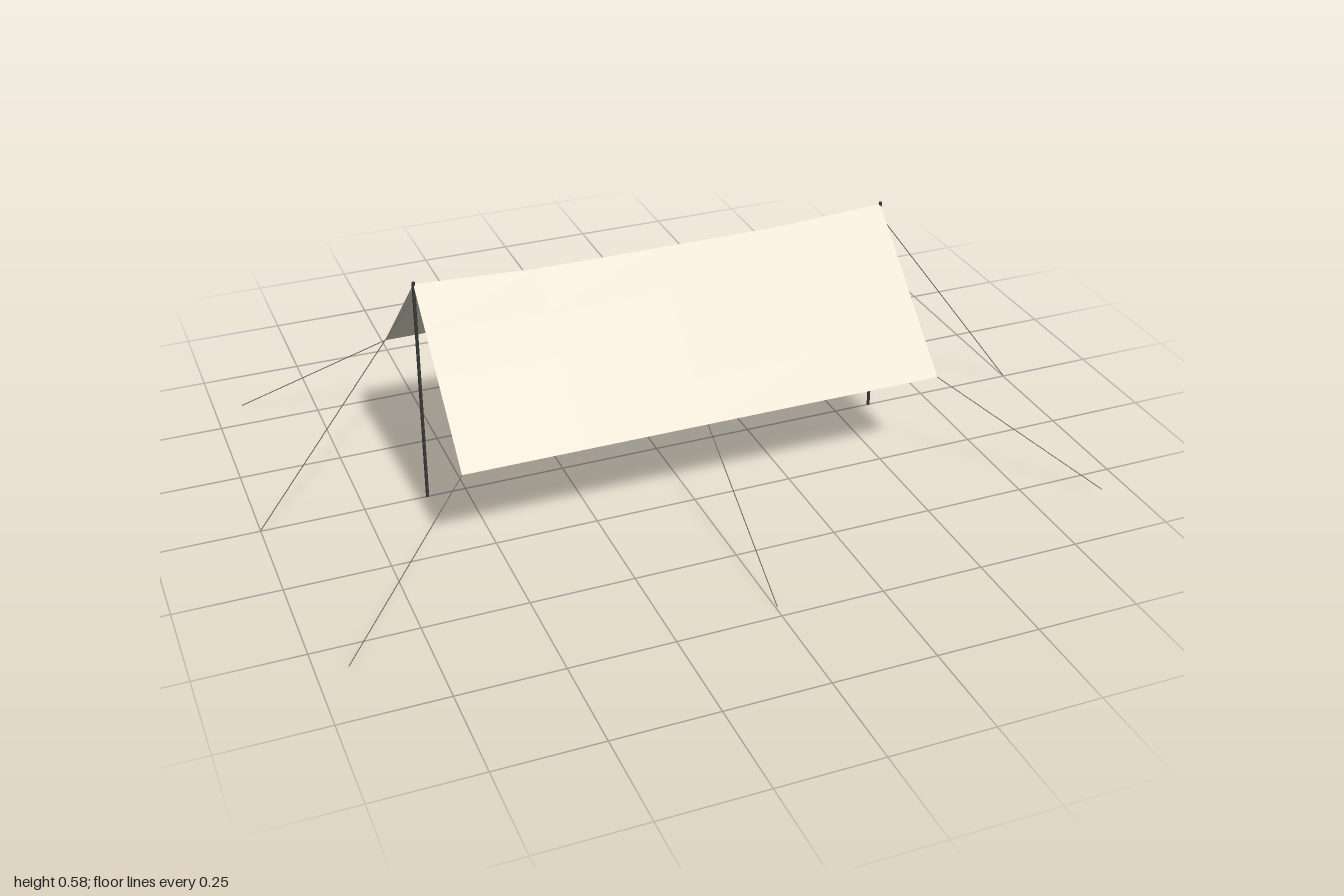
import * as THREE from 'three';

const canvas = new THREE.MeshStandardMaterial({ color: 0xe6decd, side: THREE.DoubleSide, flatShading: true });
const poleMat = new THREE.MeshStandardMaterial({ color: 0x3a3a3a });
const ropeMat = new THREE.MeshStandardMaterial({ color: 0x77726a });

// Straight round bar between two points
function bar(name, a, b, radius, sides, material) {
  const from = new THREE.Vector3(...a), to = new THREE.Vector3(...b);
  const dir = to.clone().sub(from);
  const mesh = new THREE.Mesh(new THREE.CylinderGeometry(radius, radius, dir.length(), sides), material);
  mesh.position.copy(from).add(to).multiplyScalar(0.5);
  mesh.quaternion.setFromUnitVectors(new THREE.Vector3(0, 1, 0), dir.normalize());
  mesh.name = name;
  return mesh;
}

// One sloping half of the tarp, with a ridge that sags between the poles
function tarpPanel(side) {
  const geometry = new THREE.PlaneGeometry(1.19, 1, 4, 4);
  const pos = geometry.attributes.position;
  for (let i = 0; i < pos.count; i++) {
    const x = pos.getX(i);
    const t = 0.5 - pos.getY(i); // 0 at the ridge, 1 at the eave
    const ridgeY = Math.abs(x) > 0.5 ? 0.575 : 0.56;
    pos.setXYZ(i, x * side, ridgeY + (0.26 - ridgeY) * t, 0.335 * t * side);
  }
  geometry.computeVertexNormals();
  const mesh = new THREE.Mesh(geometry, canvas);
  mesh.name = side > 0 ? 'frontTarpPanel' : 'backTarpPanel';
  return mesh;
}

export function createModel() {
  const model = new THREE.Group();
  model.name = 'tarpShelter';

  for (const s of [1, -1]) {
    const end = s > 0 ? 'left' : 'right';
    const face = s > 0 ? 'front' : 'back';
    model.add(tarpPanel(s));

    // Upright pole and its ridge guy line
    model.add(bar(end + 'Pole', [0.595 * s, 0, 0], [0.595 * s, 0.58, 0], 0.004, 8, poleMat));
    model.add(bar(end + 'RidgeGuyLine', [0.595 * s, 0.545, 0], [s, 0.002, 0], 0.0012, 5, ropeMat));

    // Guy line from the middle of the eave
    model.add(bar(face + 'EaveGuyLine', [0, 0.263, 0.31 * s], [0, 0.008, 0.725 * s], 0.0012, 5, ropeMat));

    // Corner guy lines
    for (const x of [1, -1]) {
      model.add(bar(face + (x > 0 ? 'Left' : 'Right') + 'CornerGuyLine',
        [0.595 * x, 0.26, 0.335 * s], [0.93 * x, 0.008, 0.583 * s], 0.0012, 5, ropeMat));
    }
  }
  return model;
}
